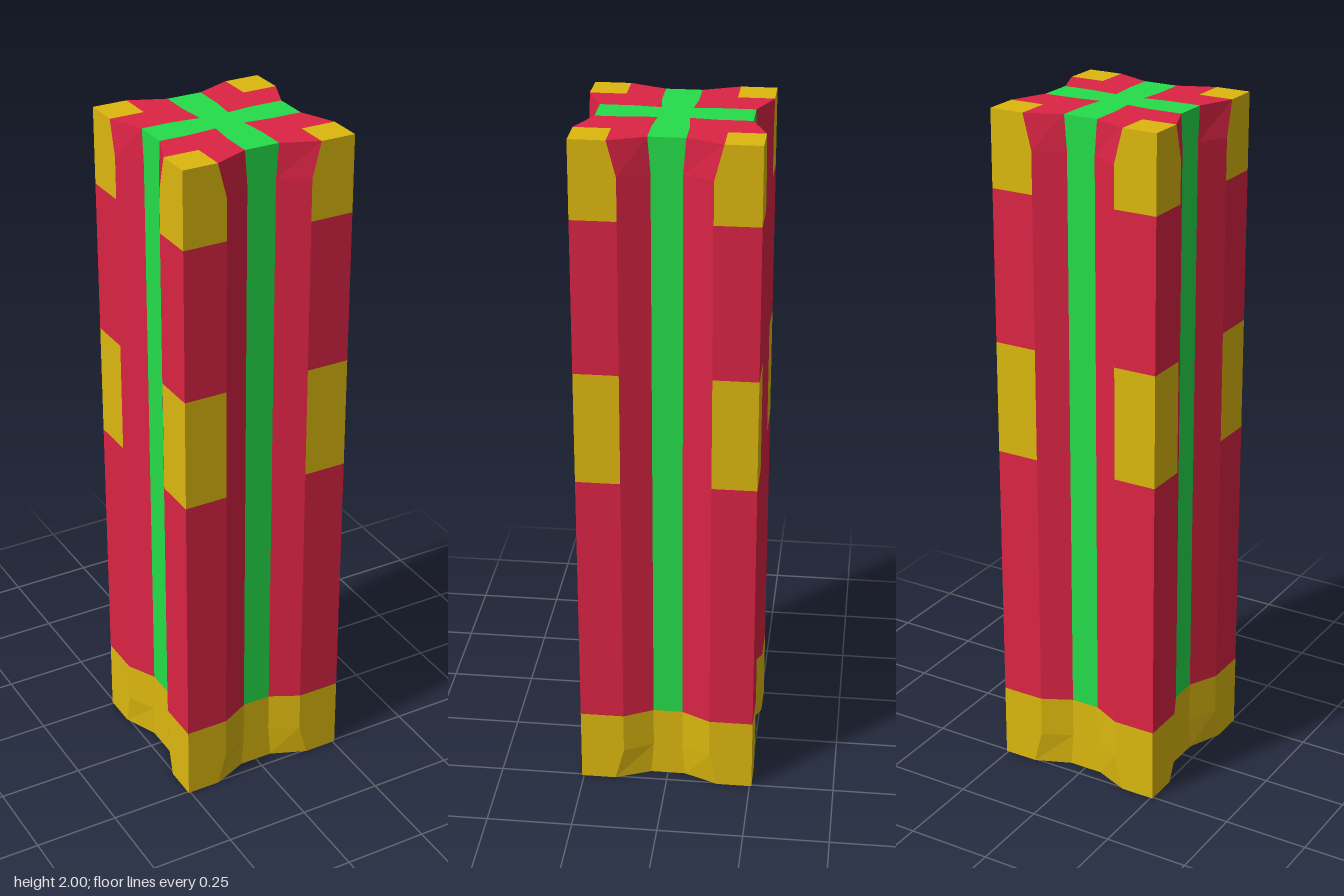
import * as THREE from 'three';
import { mergeGeometries } from 'three/addons/utils/BufferGeometryUtils.js';

const mat = (name, color) => {
  const m = new THREE.MeshStandardMaterial({ color });
  m.name = name;
  return m;
};

// Half width, groove depth, and the flared end sections
const W = 0.256, D = 0.213, END = 0.1;
const RIDGE = 0.128, RIDGE_END = 0.154;
const GROOVE = 0.043, GROOVE_END = 0.051;

// Column edges of one side at height y, from left to right
function section(y) {
  const end = y < 0.001 || y > 1.999;
  const r = end ? RIDGE_END : RIDGE, g = end ? GROOVE_END : GROOVE;
  return [[-W, W], [-r, W], [-g, D], [g, D], [r, W], [W, W]];
}

// Wall strips covering the given columns between the given heights, on all four sides
function walls(columns, ...spans) {
  const pos = [];
  for (const heights of spans) {
    for (let i = 0; i + 1 < heights.length; i++) {
      const [y0, y1] = [heights[i], heights[i + 1]];
      const lo = section(y0), hi = section(y1);
      for (const c of columns) {
        const a = [lo[c][0], y0, lo[c][1]], b = [lo[c + 1][0], y0, lo[c + 1][1]];
        const d = [hi[c][0], y1, hi[c][1]], e = [hi[c + 1][0], y1, hi[c + 1][1]];
        pos.push(...a, ...b, ...e, ...a, ...e, ...d);
      }
    }
  }
  const side = new THREE.BufferGeometry();
  side.setAttribute('position', new THREE.Float32BufferAttribute(pos, 3));
  side.computeVertexNormals();
  return mergeGeometries([0, 1, 2, 3].map(k => side.clone().rotateY(k * Math.PI / 2)));
}

// Flat end face, repeated by quarter turns when it is a corner piece
function cap(points, top, turns = 4) {
  const shape = new THREE.Shape(points.map(p => new THREE.Vector2(...p)));
  const g = new THREE.ShapeGeometry(shape).rotateX(top ? -Math.PI / 2 : Math.PI / 2);
  g.translate(0, top ? 2 : 0, 0);
  const parts = [];
  for (let k = 0; k < turns; k++) parts.push(g.clone().rotateY(k * Math.PI / 2));
  return mergeGeometries(parts);
}

export function createModel() {
  const red = mat('red', 0xdc2444);
  const gold = mat('gold', 0xdcb80f);
  const green = mat('green', 0x25de4b);
  const group = new THREE.Group();
  group.name = 'column';
  const add = (name, geometry, material) => {
    const m = new THREE.Mesh(geometry, material);
    m.name = name;
    group.add(m);
  };

  const ridges = [0, 4], flanks = [1, 3], groove = [2];
  const base = 0.222, mid0 = 1, mid1 = 1.333, crown = 1.778, top = 2;

  // Gold base and corner bands
  add('base', walls([0, 1, 2, 3, 4], [0, END, base]), gold);
  add('middleBands', walls(ridges, [mid0, mid1]), gold);
  add('crownBands', walls(ridges, [crown, top - END, top]), gold);

  // Red shaft and the green strip in each groove
  add('cornerRidges', walls(ridges, [base, mid0], [mid1, crown]), red);
  add('grooveFlanks', walls(flanks, [base, top - END, top]), red);
  add('grooveStrips', walls(groove, [base, top - END, top]), green);

  // End faces: green cross, red corners, gold corner tips on top only
  const g = GROOVE_END, r = RIDGE_END, k = 0.12;
  const inner = [[D, g], [k, g], [GROOVE, GROOVE], [g, k], [g, D]];
  const cross = [];
  for (let q = 0; q < 4; q++) {
    for (const [x, y] of inner) {
      cross.push([[x, y], [-y, x], [-x, -y], [y, -x]][q]);
    }
  }
  add('topCross', cap(cross, true, 1), green);
  add('bottomCross', cap(cross, false, 1), green);
  add('topCorners', cap([...inner, [r, W], [r, r], [W, r]], true), red);
  add('bottomCorners', cap([...inner, [r, W], [W, W], [W, r]], false), red);
  add('topTips', cap([[r, r], [W, r], [W, W], [r, W]], true), gold);

  return group;
}
